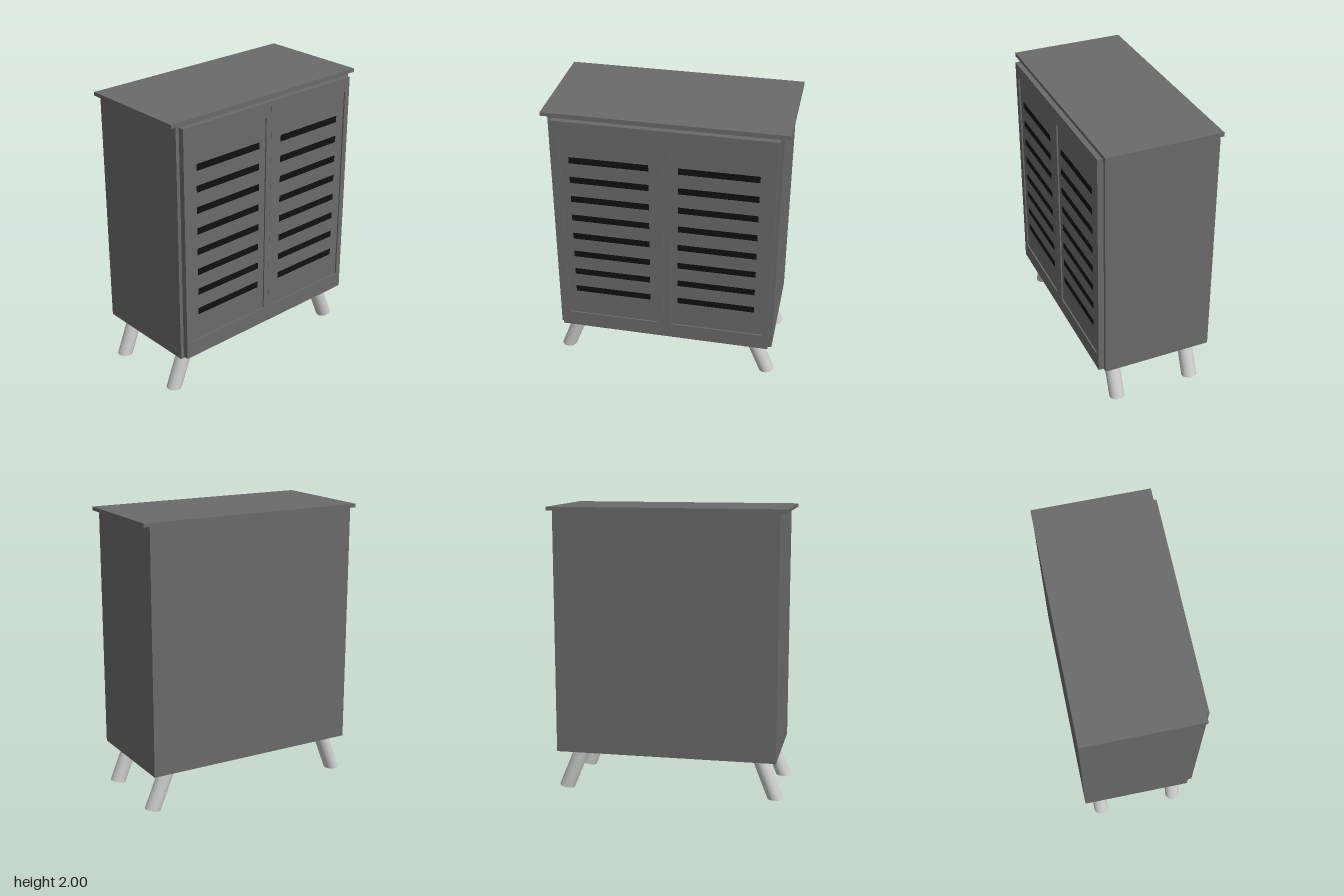
import * as THREE from 'three';

const shell = new THREE.MeshStandardMaterial({ color: 0x6a6a6a });
const black = new THREE.MeshStandardMaterial({ color: 0x111111 });
const grey = new THREE.MeshStandardMaterial({ color: 0xcccccc });

// Box given by its minimum and maximum corners
function box(name, [x0, y0, z0], [x1, y1, z1], material) {
  const mesh = new THREE.Mesh(new THREE.BoxGeometry(x1 - x0, y1 - y0, z1 - z0), material);
  mesh.position.set((x0 + x1) / 2, (y0 + y1) / 2, (z0 + z1) / 2);
  mesh.name = name;
  return mesh;
}

// Rectangle with slightly rounded corners
function roundedRect(path, x0, y0, x1, y1, r) {
  path.moveTo(x0 + r, y0);
  path.lineTo(x1 - r, y0).quadraticCurveTo(x1, y0, x1, y0 + r);
  path.lineTo(x1, y1 - r).quadraticCurveTo(x1, y1, x1 - r, y1);
  path.lineTo(x0 + r, y1).quadraticCurveTo(x0, y1, x0, y1 - r);
  path.lineTo(x0, y0 + r).quadraticCurveTo(x0, y0, x0 + r, y0);
  return path;
}

// Door: back board, raised frame around a recessed panel, row of dark slots
function makeDoor(side) {
  const door = new THREE.Group();
  door.name = side > 0 ? 'leftDoor' : 'rightDoor';
  const span = (a, b) => (side > 0 ? [a, b] : [-b, -a]);

  const [x0, x1] = span(0.0005, 0.745);
  door.add(box('doorBoard', [x0, 0.305, 0.37], [x1, 1.96, 0.4], shell));

  const outline = new THREE.Shape();
  outline.moveTo(x0, 0.305).lineTo(x1, 0.305).lineTo(x1, 1.96).lineTo(x0, 1.96);
  const [p0, p1] = side > 0 ? [0.053, 0.705] : [-0.693, -0.043];
  outline.holes.push(roundedRect(new THREE.Path(), p0, 0.42, p1, 1.86, 0.01));
  const frame = new THREE.Mesh(
    new THREE.ExtrudeGeometry(outline, { depth: 0.01, bevelEnabled: false, curveSegments: 4 }), shell);
  frame.position.z = 0.4;
  frame.name = 'doorFrame';
  door.add(frame);

  const [s0, s1] = span(0.098, 0.635);
  for (let i = 0; i < 8; i++) {
    const y = 1.675 - i * 0.149;
    door.add(box('slot', [s0, y - 0.023, 0.38], [s1, y + 0.023, 0.402], black));
  }
  return door;
}

// Splayed round leg: a cylinder sheared outwards, with an optionally tilted foot
function makeLeg(name, topX, footX, footY, tilt, z) {
  const r = 0.053, rise = 0.295 - footY;
  const geometry = new THREE.CylinderGeometry(r, r, 1.08, 32).translate(0, 0.54, 0);
  geometry.applyMatrix4(new THREE.Matrix4().set(
    1, topX - footX, 0, footX,
    tilt, rise, 0, footY,
    0, 0, 1, z,
    0, 0, 0, 1));
  const leg = new THREE.Mesh(geometry, grey);
  leg.name = name;
  return leg;
}

export function createModel() {
  const cabinet = new THREE.Group();
  cabinet.name = 'cabinet';
  cabinet.add(box('body', [-0.77, 0.295, -0.41], [0.77, 1.975, 0.37], shell));
  cabinet.add(box('top', [-0.815, 1.975, -0.412], [0.812, 2, 0.385], shell));
  cabinet.add(makeDoor(1), makeDoor(-1));
  for (const [end, z] of [['front', 0.27], ['back', -0.295]]) {
    cabinet.add(makeLeg(end + 'LeftLeg', 0.617, 0.734, 0.013, 0.2, z));
    cabinet.add(makeLeg(end + 'RightLeg', -0.647, -0.757, 0.014, 0, z));
  }
  return cabinet;
}
